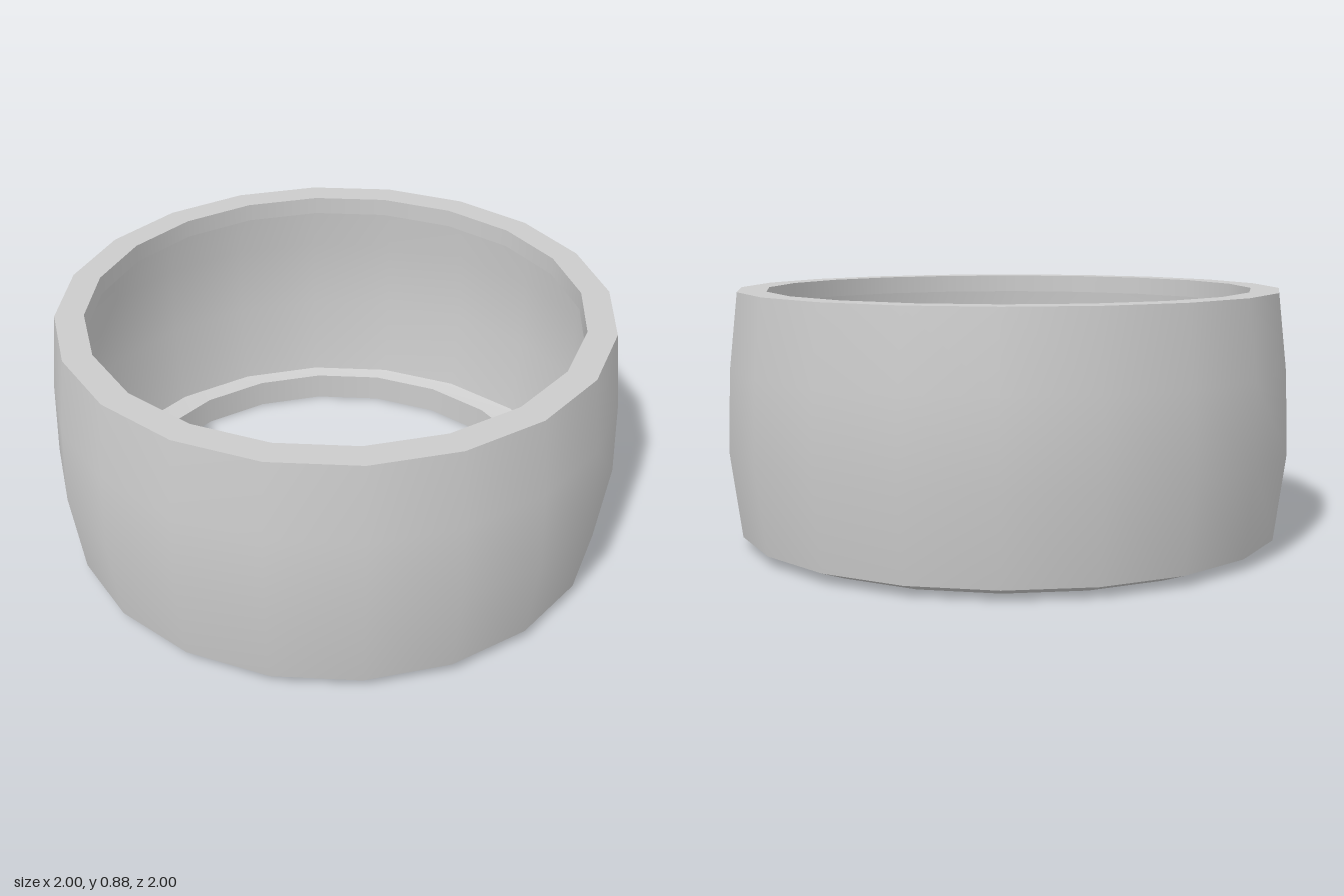
import * as THREE from 'three';

const SIDES = 20;

export function createModel() {
  const group = new THREE.Group();
  group.name = 'ring';
  const material = new THREE.MeshStandardMaterial({ color: 0xcccccc, side: THREE.DoubleSide });

  // A thin hollow shell: the rims turn inward and end in short open lips.
  // Each band is a smooth strip of [radius, height] points; edges between bands stay sharp.
  const bands = {
    lowerLip: [[0.785, 0.105], [0.785, 0]],
    underside: [[0.785, 0], [0.86, 0], [0.96, 0.037]],
    outerWall: [[0.96, 0.037], [1, 0.34], [0.99, 0.62], [0.96, 0.885]],
    topRim: [[0.96, 0.885], [0.86, 0.885]],
    upperLip: [[0.86, 0.885], [0.86, 0.82]],
  };

  for (const [name, profile] of Object.entries(bands)) {
    const points = profile.map(([r, y]) => new THREE.Vector2(r, y));
    const mesh = new THREE.Mesh(new THREE.LatheGeometry(points, SIDES), material);
    mesh.name = name;
    group.add(mesh);
  }
  return group;
}
